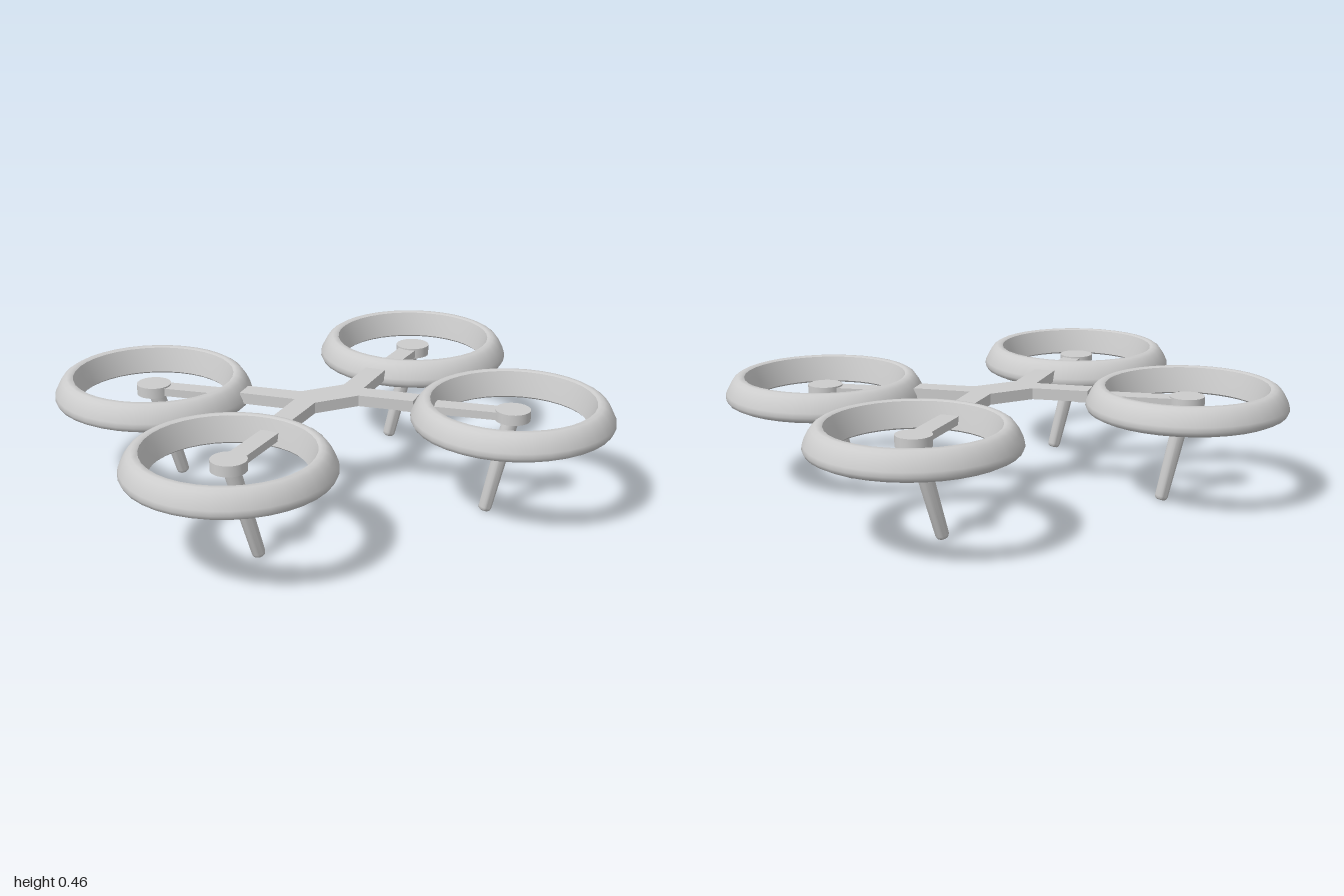
import * as THREE from 'three';
import { toCreasedNormals } from 'three/addons/utils/BufferGeometryUtils.js';

const ROTOR_X = 0.595, ROTOR_Z = 0.43;
const grey = new THREE.MeshStandardMaterial({ color: 0xcccccc });
grey.name = 'light grey';

function part(name, geometry, parent) {
  const mesh = new THREE.Mesh(geometry, grey);
  mesh.name = name;
  parent.add(mesh);
  return mesh;
}

const lathe = (points, segments, crease) => toCreasedNormals(
  new THREE.LatheGeometry(points.map(([r, y]) => new THREE.Vector2(r, y)), segments), crease);

export function createModel() {
  const model = new THREE.Group();
  model.name = 'quadcopter';

  // X-shaped centre plate
  const outline = [
    [0.152, 0], [0.325, 0.155], [0.265, 0.215], [0.095, 0.07],
    [-0.095, 0.07], [-0.265, 0.215], [-0.325, 0.155], [-0.152, 0],
    [-0.325, -0.155], [-0.265, -0.215], [-0.095, -0.07],
    [0.095, -0.07], [0.265, -0.215], [0.325, -0.155],
  ];
  const plate = new THREE.ExtrudeGeometry(
    new THREE.Shape(outline.map(([x, y]) => new THREE.Vector2(x, y))),
    { depth: 0.045, bevelEnabled: false });
  plate.rotateX(-Math.PI / 2);
  part('centreFrame', plate, model).position.y = 0.385;

  // Duct cross-section: flat underside, rounded outer lip, sloping inner wall
  const duct = lathe([
    [0.297, 0.362], [0.305, 0.355], [0.375, 0.355], [0.395, 0.365], [0.403, 0.38],
    [0.4, 0.398], [0.384, 0.43], [0.368, 0.453], [0.352, 0.463], [0.335, 0.465],
    [0.326, 0.46], [0.31, 0.41], [0.297, 0.362],
  ], 36, 0.7);

  // Slightly tapered leg with a rounded foot, running up the +y axis
  const legLength = 0.4;
  const leg = lathe([
    [0, 0], [0.017, 0.001], [0.023, 0.006], [0.026, 0.016],
    [0.033, legLength], [0, legLength],
  ], 20, 0.7);

  for (const sx of [-1, 1]) {
    for (const sz of [-1, 1]) {
      const rotor = new THREE.Group();
      rotor.name = (sz > 0 ? 'front' : 'back') + (sx > 0 ? 'Left' : 'Right') + 'Rotor';
      rotor.position.set(sx * ROTOR_X, 0, sz * ROTOR_Z);
      model.add(rotor);

      part('duct', duct, rotor);
      part('motor', new THREE.CylinderGeometry(0.07, 0.07, 0.043, 32), rotor).position.y = 0.3985;

      // Thin inner arm from the frame to the motor
      const inner = new THREE.Vector2(0.25, 0.15);
      const dx = ROTOR_X - inner.x, dz = ROTOR_Z - inner.y;
      const arm = part('arm', new THREE.BoxGeometry(Math.hypot(dx, dz), 0.032, 0.076), rotor);
      arm.position.set(-sx * dx / 2, 0.398, -sz * dz / 2);
      arm.rotation.y = -Math.atan2(sz * dz, sx * dx);

      // Leg leaning in toward the centre line at the foot
      const legMesh = part('leg', leg, rotor);
      legMesh.position.set(-sx * 0.113, 0.006, 0);
      legMesh.rotation.z = -sx * 0.272;
    }
  }
  return model;
}
